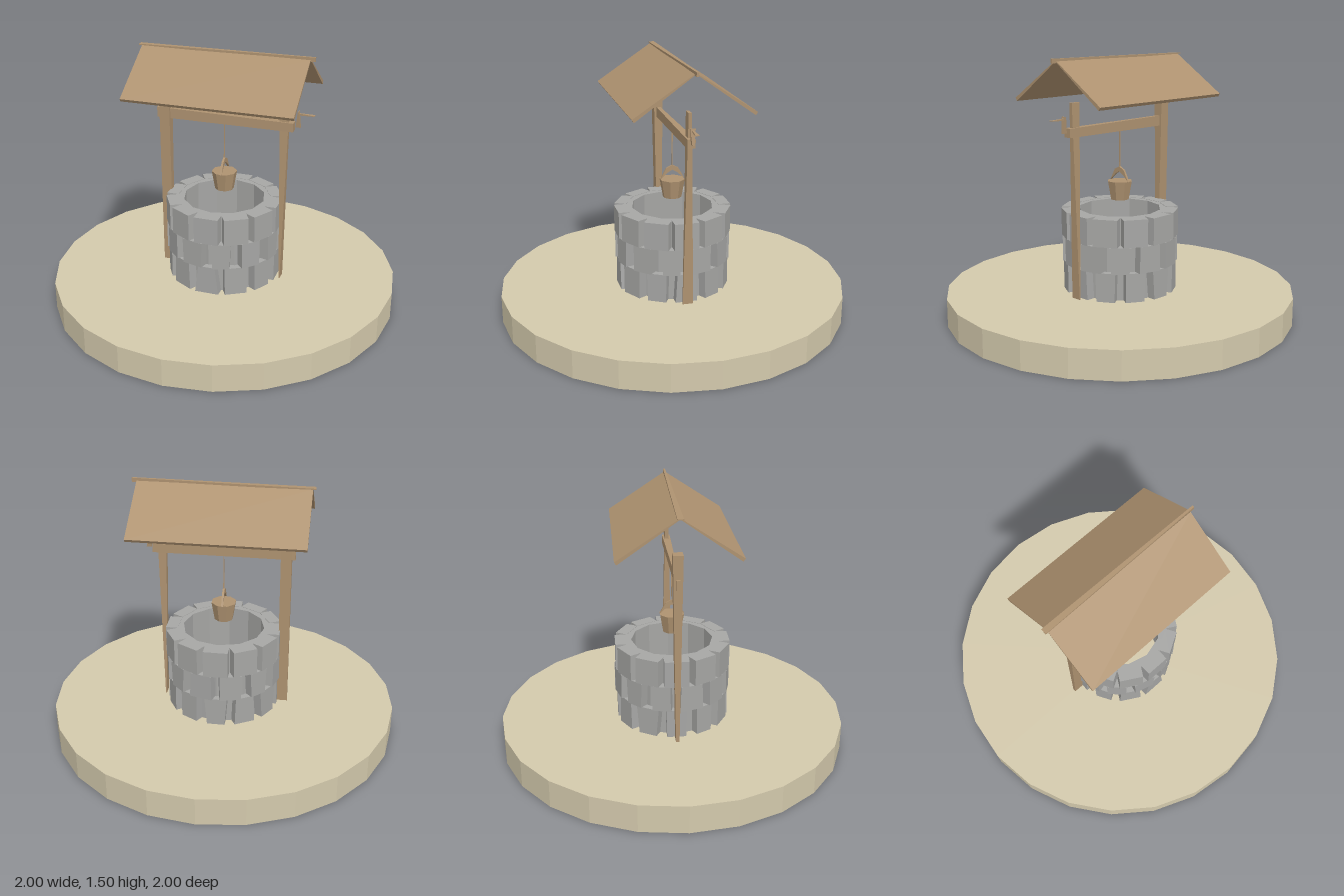
import * as THREE from 'three';

const mat = (name, color) => {
  const m = new THREE.MeshStandardMaterial({ color, flatShading: true });
  m.name = name;
  return m;
};

// Box of height h whose bottom and top have their own [x, z] sizes
function taper(h, bottom, top) {
  const g = new THREE.BoxGeometry(1, h, 1);
  const p = g.attributes.position;
  for (let i = 0; i < p.count; i++) {
    const s = p.getY(i) < 0 ? bottom : top;
    p.setX(i, p.getX(i) * s[0]);
    p.setZ(i, p.getZ(i) * s[1]);
  }
  g.computeVertexNormals();
  return g;
}

export function createModel() {
  const root = new THREE.Group();
  root.name = 'well';
  const sand = mat('sand', 0xd3c9ac);
  const stone = mat('stone', 0xa6a6a4);
  const wood = mat('wood', 0xae9270);

  const add = (name, geo, material, x = 0, y = 0, z = 0, parent = root) => {
    const m = new THREE.Mesh(geo, material);
    m.name = name;
    m.position.set(x, y, z);
    parent.add(m);
    return m;
  };
  // Bar along x: end sizes are [height, depth]
  const bar = (name, x0, x1, y, left, right, z = 0) => {
    const m = add(name, taper(x1 - x0, left, right), wood, (x0 + x1) / 2, y, z);
    m.rotation.z = -Math.PI / 2;
  };

  // Round ground slab
  add('ground', new THREE.CylinderGeometry(1, 1, 0.16, 24), sand, 0, 0.08, 0);

  // Inner ring of the well, open in the middle
  const ring = [[0.285, 0.16], [0.285, 0.628], [0.235, 0.628], [0.235, 0.16]];
  add('innerWall', new THREE.LatheGeometry(ring.map(([r, y]) => new THREE.Vector2(r, y)), 12), stone);

  // Three staggered courses of twelve stones
  let seed = 7;
  const rand = () => (seed = (seed * 16807) % 2147483647) / 2147483647;
  const courses = [
    { y0: 0.16, y1: 0.325, r: 0.32, turn: 0, vary: 0.045 },
    { y0: 0.325, y1: 0.475, r: 0.328, turn: 0.5, vary: 0.045 },
    { y0: 0.475, y1: 0.63, r: 0.328, turn: 0, vary: 0 },
  ];
  courses.forEach(({ y0, y1, r, turn, vary }, row) => {
    const course = new THREE.Group();
    course.name = 'stoneCourse' + (row + 1);
    root.add(course);
    for (let i = 0; i < 12; i++) {
      const a = ((i + turn) / 12) * Math.PI * 2;
      const d = 0.07;
      const w0 = 0.138 - vary * rand();
      const w1 = 0.138 - vary * rand();
      const rc = r - d / 2;
      const s = add('stone', taper(y1 - y0, [w0, d], [w1, d]), stone,
        Math.sin(a) * rc, (y0 + y1) / 2, Math.cos(a) * rc, course);
      s.rotation.y = a;
    }
  });

  // Warped posts
  add('rightPost', taper(1.1, [0.06, 0.02], [0.06, 0.056]), wood, -0.35, 0.71, 0);
  add('leftPost', taper(1.1, [0.006, 0.06], [0.056, 0.018]), wood, 0.346, 0.71, 0);

  // Axle and crank
  bar('axle', -0.4, 0.4, 1.1, [0.06, 0.02], [0.05, 0.045]);
  add('crankArm', taper(0.09, [0.028, 0.012], [0.004, 0.03]), wood, 0.423, 1.145, 0);
  bar('crankHandle', 0.42, 0.513, 1.175, [0.012, 0.006], [0.003, 0.024]);

  // Roof slabs, thicker at the eaves
  for (const s of [1, -1]) {
    const slab = add(s > 0 ? 'frontRoof' : 'backRoof',
      taper(0.388, [0.957, 0.02], [0.957, 0.006]), wood, 0, 1.372, s * 0.167);
    slab.rotation.x = -s * Math.atan2(0.32, 0.22);
  }
  bar('ridge', -0.495, 0.505, 1.487, [0.006, 0.034], [0.024, 0.012]);

  // Rope, bucket and its flat arched handle
  add('rope', taper(0.23, [0.008, 0.004], [0.002, 0.008]), wood, 0, 0.965, 0);
  add('bucket', new THREE.CylinderGeometry(0.073, 0.054, 0.107, 8, 1, false, Math.PI / 8), wood, 0, 0.732, 0);
  const arch = [[-0.07, 0.785], [-0.035, 0.85], [0, 0.868], [0.035, 0.85], [0.07, 0.785],
    [0.03, 0.822], [0, 0.84], [-0.03, 0.822]].map(([z, y]) => new THREE.Vector2(z, y));
  const handle = add('bucketHandle',
    new THREE.ExtrudeGeometry(new THREE.Shape(arch), { depth: 0.012, bevelEnabled: false }), wood, -0.006, 0, 0);
  handle.rotation.y = Math.PI / 2;

  return root;
}
